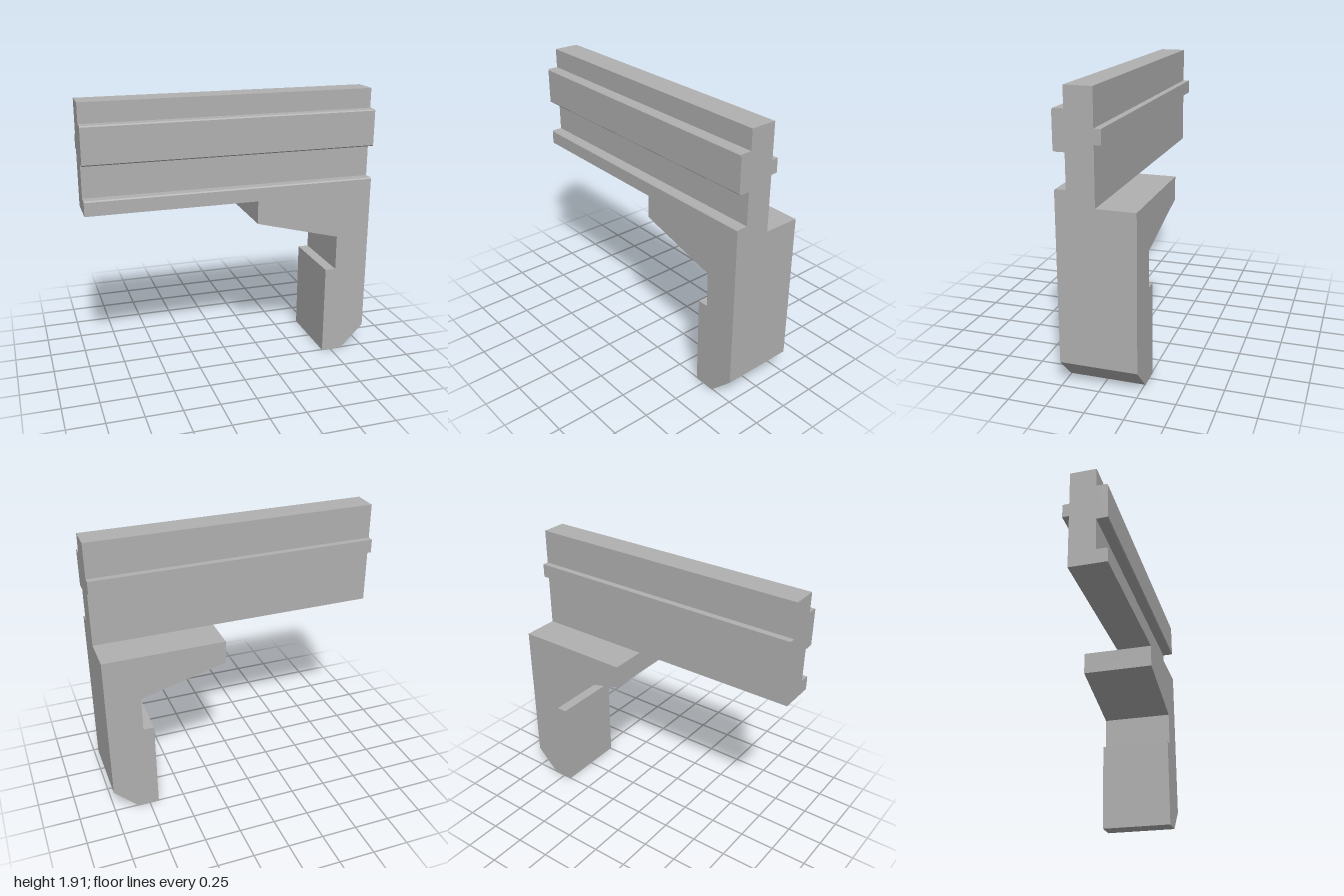
import * as THREE from 'three';

const grey = new THREE.MeshStandardMaterial({ color: 0xb0b0b0 });
grey.name = 'grey';

// Extrudes a closed outline of [x, y] points along z
function extrude(points, depth) {
  const shape = new THREE.Shape(points.map(([x, y]) => new THREE.Vector2(x, y)));
  return new THREE.ExtrudeGeometry(shape, { depth, bevelEnabled: false });
}

function addPart(group, name, geometry) {
  const mesh = new THREE.Mesh(geometry, grey);
  mesh.name = name;
  group.add(mesh);
}

export function createModel() {
  const group = new THREE.Group();
  group.name = 'railBracket';

  const front = 0.255, web = 0.18, ridge = -0.045, bevel = 0.008;

  // Rail cross-section as [z, y]: two raised bands in front, one ridge behind
  const section = [
    [0, 1.2], [front, 1.2],
    [front, 1.3 - bevel], [front - bevel, 1.3], [web, 1.3],
    [web, 1.525], [front - bevel, 1.525], [front, 1.525 + bevel],
    [front, 1.78 - bevel], [front - bevel, 1.78], [web, 1.78],
    [web, 1.915], [0, 1.915],
    [0, 1.675], [ridge, 1.675], [ridge, 1.58], [0, 1.58],
  ];
  const rail = extrude(section.map(([z, y]) => [-z, y]), 2);
  rail.rotateY(Math.PI / 2).translate(-1, 0, 0);
  addPart(group, 'rail', rail);

  // Hooked support leg with a sloping arm, a notch and a chamfered foot
  const leg = extrude([
    [0.165, 1.2], [0.165, 1.04], [0.76, 0.885], [0.76, 0.64], [0.685, 0.64],
    [0.685, 0], [0.835, 0], [1, 0.165], [1, 1.2],
  ], 2 * front);
  leg.translate(0, 0, -front);
  addPart(group, 'supportLeg', leg);

  return group;
}
